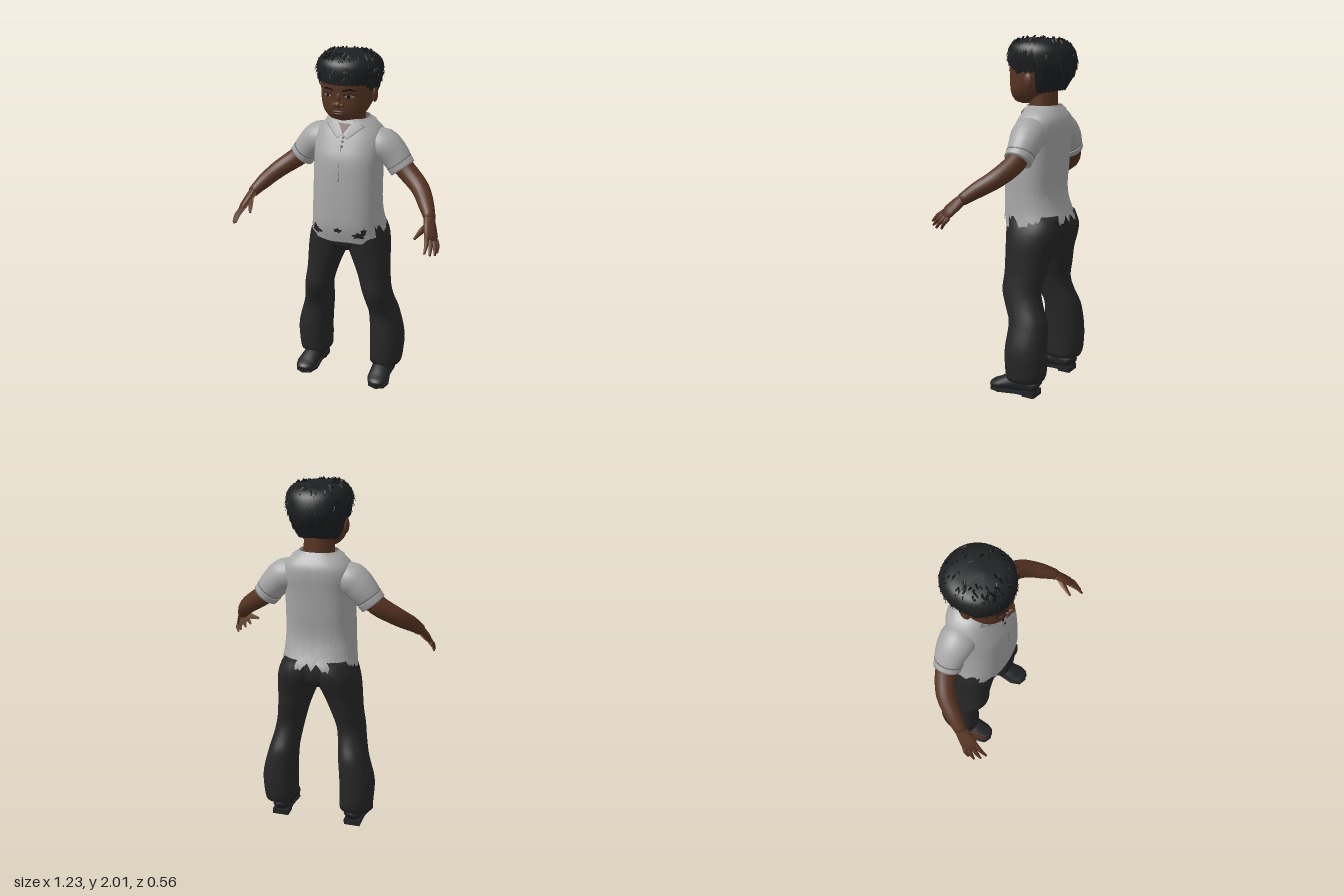
import * as THREE from 'three';
import { mergeGeometries } from 'three/addons/utils/BufferGeometryUtils.js';

const mat = (name, color, side = THREE.FrontSide) => {
  const m = new THREE.MeshStandardMaterial({ color, side });
  m.name = name;
  return m;
};
const V = (x, y, z) => new THREE.Vector3(x, y, z);
const lerp = THREE.MathUtils.lerp;

// Closed-round surface from point(v, angle); split(angle) picks the second material
function grid(rows, n, point, { caps = false, split = null } = {}) {
  const pos = [], groups = [[], []];
  const ring = [];
  for (let i = 0; i <= rows; i++) {
    for (let j = 0; j < n; j++) {
      const p = point(i / rows, (j / n) * Math.PI * 2);
      pos.push(p.x, p.y, p.z);
      if (i === 0 || i === rows) ring.push(p);
    }
  }
  for (let i = 0; i < rows; i++) for (let j = 0; j < n; j++) {
    const a = i * n + j, b = i * n + (j + 1) % n;
    const g = groups[split && split(((j + 0.5) / n) * Math.PI * 2) ? 1 : 0];
    g.push(a, b, b + n, a, b + n, a + n);
  }
  if (caps) [0, 1].forEach((end) => {
    const c = V(0, 0, 0);
    for (let j = 0; j < n; j++) c.addScaledVector(ring[end * n + j], 1 / n);
    const k = pos.length / 3, base = end * rows * n;
    pos.push(c.x, c.y, c.z);
    for (let j = 0; j < n; j++) {
      const a = base + j, b = base + (j + 1) % n;
      groups[0].push(...(end ? [k, a, b] : [k, b, a]));
    }
  });
  const geo = new THREE.BufferGeometry();
  geo.setAttribute('position', new THREE.Float32BufferAttribute(pos, 3));
  geo.setIndex([...groups[0], ...groups[1]]);
  if (split) {
    geo.addGroup(0, groups[0].length, 0);
    geo.addGroup(groups[0].length, groups[1].length, 1);
  }
  geo.computeVertexNormals();
  return geo;
}

// Smoothly read a profile of [y, xMin, xMax, zFront, zBack] at height y
function at(rows, y) {
  const last = rows.length - 1;
  let i = 0;
  while (i < last - 1 && y > rows[i + 1][0]) i++;
  const A = rows[i], B = rows[i + 1], P = rows[Math.max(i - 1, 0)], Q = rows[Math.min(i + 2, last)];
  const h = B[0] - A[0], t = THREE.MathUtils.clamp((y - A[0]) / h, 0, 1);
  return A.map((a, k) => {
    const m0 = (B[k] - P[k]) / (B[0] - P[0]) * h, m1 = (Q[k] - a) / (Q[0] - A[0]) * h;
    return (2 * t ** 3 - 3 * t * t + 1) * a + (t ** 3 - 2 * t * t + t) * m0
      + (3 * t * t - 2 * t ** 3) * B[k] + (t ** 3 - t * t) * m1;
  });
}
const sym = (rows) => rows.map(([y, w, f, b]) => [y, -w, w, f, b]);
const pw = (s, q) => Math.sign(s) * Math.abs(s) ** q;
function onBody(rows, y, a, q) {
  const [, x0, x1, f, b] = at(rows, y);
  return V((x0 + x1) / 2 + (x1 - x0) / 2 * pw(Math.sin(a), q), y, (f + b) / 2 + (f - b) / 2 * pw(Math.cos(a), q));
}
function body(rows, q, n, steps, hem, opts) {
  const top = rows[rows.length - 1][0];
  return grid(steps, n, (v, a) => onBody(rows, lerp(hem ? hem(a) : rows[0][0], top, v), a, q), opts);
}

// Elliptical tube along points [x, y, z, wideRadius, thinRadius]
function sweep(pts, wide, n = 16, opts = { caps: true }) {
  const curve = new THREE.CatmullRomCurve3(pts.map((p) => V(p[0], p[1], p[2])));
  const k = pts.length - 1;
  return grid(k * 4, n, (v, a) => {
    const i = Math.min(Math.floor(v * k), k - 1), f = v * k - i;
    const t = curve.getTangent(v);
    const u = wide.clone().addScaledVector(t, -wide.dot(t)).normalize();
    const w = u.clone().cross(t);
    return curve.getPoint(v)
      .addScaledVector(u, Math.sin(a) * lerp(pts[i][3], pts[i + 1][3], f))
      .addScaledVector(w, Math.cos(a) * lerp(pts[i][4], pts[i + 1][4], f));
  }, opts);
}

// Thin polygon laid on the front of a body
function patch(rows, q, points, off) {
  const c = [0, 1].map((k) => points.reduce((s, p) => s + p[k], 0) / points.length);
  const pos = [c, ...points].flatMap(([x, y]) => {
    const w = at(rows, y)[2];
    return onBody(rows, y, Math.asin(pw(Math.max(-1, Math.min(1, x / w)), 1 / q)), q).add(V(0, 0, off)).toArray();
  });
  const geo = new THREE.BufferGeometry();
  geo.setAttribute('position', new THREE.Float32BufferAttribute(pos, 3));
  geo.setIndex(points.flatMap((_, i) => [0, i + 1, (i + 1) % points.length + 1]));
  geo.computeVertexNormals();
  return geo;
}
const blob = (x, y, rx, ry, n = 14, wob = 0) => Array.from({ length: n }, (_, i) => {
  const a = i / n * Math.PI * 2, r = 1 + wob * Math.sin(i * 2.4 + x * 40);
  return [x + Math.cos(a) * rx * r, y + Math.sin(a) * ry * r];
});
const ball = (x, y, z, rx, ry, rz) => new THREE.SphereGeometry(1, 18, 12).scale(rx, ry, rz).translate(x, y, z);
function mirror(geo) {
  const g = geo.clone().scale(-1, 1, 1), ix = g.index.array;
  for (let i = 0; i < ix.length; i += 3) [ix[i + 1], ix[i + 2]] = [ix[i + 2], ix[i + 1]];
  return g;
}

export function createModel() {
  const model = new THREE.Group();
  const skin = mat('skin', 0x573423), palm = mat('palm', 0xa07459), lip = mat('lips', 0x45251d);
  const shirt = mat('shirt cloth', 0xa6a6a6, THREE.DoubleSide), seam = mat('seam', 0x6a6a6a);
  const cloth = mat('trouser cloth', 0x262627), leather = mat('shoe leather', 0x222325);
  const hair = mat('hair', 0x1d1f20, THREE.DoubleSide), dark = mat('dark strands', 0x0f1011);
  const white = mat('eye white', 0x85756c);
  const part = (name, geo, m) => {
    const mesh = new THREE.Mesh(geo, m);
    mesh.name = name;
    model.add(mesh);
  };
  const pair = (name, geo, m) => {
    part('left ' + name, geo, m);
    part('right ' + name, mirror(geo), m);
  };

  // Trousers
  pair('trouserLeg', body([
    [0.10, .135, .325, 0, -.215], [0.14, .135, .33, .008, -.23], [0.27, .135, .335, .01, -.235],
    [0.43, .125, .297, 0, -.225], [0.52, .115, .275, .035, -.19], [0.60, .10, .262, .06, -.17],
    [0.70, .07, .25, .056, -.19], [0.80, .03, .245, .06, -.21], [0.88, -.003, .24, .065, -.238],
    [0.95, -.02, .226, .07, -.254], [1.03, -.01, .195, .07, -.235]], .88, 32, 36, null, { caps: true }), cloth);
  part('trouserSeat', body(sym([[.85, .05, .02, -.16], [.89, .15, .06, -.22], [.95, .215, .07, -.24],
    [1.04, .195, .07, -.23]]), .85, 40, 10, null, { caps: true }), cloth);

  // Shoes
  pair('shoe', sweep([[.215, .05, -.18, .03, .03], [.218, .062, -.165, .05, .05], [.222, .075, -.09, .055, .062],
    [.228, .062, -.01, .058, .048], [.234, .046, .055, .063, .032], [.236, .038, .095, .05, .024],
    [.236, .034, .113, .022, .012]], V(1, 0, 0), 20), leather);
  pair('ankle', new THREE.CylinderGeometry(.055, .055, .12, 18).translate(.222, .11, -.1), leather);
  const sole = new THREE.Shape([[.17, -.17], [.2, -.185], [.24, -.183], [.27, -.16], [.275, -.06], [.3, .04],
    [.285, .095], [.24, .118], [.19, .1], [.168, .04], [.178, -.06]].map(([x, z]) => new THREE.Vector2(x, -z)));
  const soleGeo = new THREE.ExtrudeGeometry(sole, { depth: .016, bevelEnabled: false }).rotateX(-Math.PI / 2).translate(0, .01, 0);
  soleGeo.setIndex([...Array(soleGeo.attributes.position.count).keys()]);
  pair('shoeSole', soleGeo, leather);
  pair('shoeHeel', new THREE.BoxGeometry(.095, .035, .075).translate(.222, .0175, -.14), leather);

  // Shirt with torn hem
  const torso = sym([[.92, .228, .085, -.262], [1.0, .212, .105, -.256], [1.05, .204, .11, -.232],
    [1.15, .198, .108, -.205], [1.3, .195, .1, -.216], [1.42, .195, .085, -.226], [1.5, .198, .052, -.235],
    [1.56, .183, .022, -.23], [1.6, .145, .0, -.205], [1.628, .1, -.015, -.182]]);
  const hem = (a) => {
    const d = Math.min(a, Math.PI * 2 - a);
    if (d < 1.1) return .93 + .003 * Math.sin(9 * a);
    return d < 1.45 ? 1.02 + .015 * Math.sin(30 * d) : .98 + .028 * Math.sin(11 * d) + .02 * Math.sin(23 * d);
  };
  part('shirtBody', body(torso, .8, 84, 36, hem), shirt);
  pair('sleeve', sweep([[.1, 1.485, -.1, .09, .085], [.19, 1.478, -.105, .1, .094], [.25, 1.43, -.11, .088, .084],
    [.302, 1.362, -.105, .073, .072]], V(0, 0, 1), 24), shirt);
  pair('sleeveCuff', sweep([[.286, 1.383, -.106, .08, .078], [.308, 1.355, -.104, .077, .076]], V(0, 0, 1), 24), shirt);
  pair('cuffSeam', sweep([[.281, 1.39, -.107, .081, .0785], [.284, 1.386, -.107, .081, .0785]], V(0, 0, 1), 24), seam);
  [[-.14, .985, .035, .018], [0, 1.01, .024, .014], [.12, .985, .036, .018], [.145, 1.01, .014, .016], [-.15, 1.01, .012, .014]]
    .forEach(([x, y, rx, ry]) => part('hemTear', patch(torso, .8, blob(x, y, rx, ry, 14, .3), .005), cloth));
  part('frontSeam', patch(torso, .8, [[-.002, 1.3], [.002, 1.3], [.002, 1.5], [-.002, 1.5]], .003), seam);

  // Collar, open neck and buttons
  part('neckOpening', patch(torso, .8, [[-.045, 1.622], [0, 1.552], [.045, 1.622]], .005), skin);
  const flap = [[.002, 1.558], [.03, 1.537], [.105, 1.597], [.05, 1.624]];
  const edge = [[0, 1.554], [.03, 1.532], [.112, 1.595], [.05, 1.626]];
  pair('collarFlap', patch(torso, .8, flap, .0105), shirt);
  pair('collarEdge', patch(torso, .8, edge, .008), seam);
  part('collarBand', grid(4, 48, (v, a) => {
    const p = onBody(torso, lerp(1.606, 1.63, v), a, .8);
    return p.add(V(Math.sin(a) * .006, .003, Math.cos(a) * .004));
  }), shirt);
  [1.54, 1.52, 1.495].forEach((y) => part('button', patch(torso, .8, blob(.008, y, .008, .007, 8), .012), dark));

  // Arms and hands
  pair('arm', sweep([[.26, 1.41, -.107, .055, .055], [.33, 1.345, -.1, .057, .057], [.43, 1.272, -.045, .053, .05],
    [.49, 1.215, .035, .045, .043], [.535, 1.162, .105, .034, .03]], V(0, 0, 1), 20), skin);
  const across = V(.04, -.03, -.05).normalize();
  const opts = { caps: true, split: (a) => Math.cos(a) > .3 };
  const hand = [skin, palm];
  pair('palm', sweep([[.528, 1.172, .095, .032, .025], [.545, 1.135, .135, .043, .024], [.562, 1.1, .17, .047, .021],
    [.57, 1.078, .192, .038, .014]], across, 16, opts), hand);
  [[.547, 1.1, .2, .56, 1.036, .278], [.562, 1.088, .19, .584, 1.02, .256], [.576, 1.078, .174, .604, 1.011, .224],
    [.587, 1.07, .155, .605, 1.01, .19]].forEach(([x, y, z, X, Y, Z], i) =>
    pair('finger' + (i + 1), sweep([[x, y, z, .0135, .013], [(x + X) / 2 + .005, (y + Y) / 2 + .004, (z + Z) / 2, .012, .012],
      [X, Y, Z, .006, .006]], across, 10, opts), hand));
  pair('thumb', sweep([[.532, 1.14, .135, .02, .017], [.51, 1.118, .18, .016, .014], [.488, 1.092, .232, .007, .007]], across, 10, opts), hand);

  // Neck and head
  part('neck', body(sym([[1.56, .092, -.015, -.18], [1.62, .086, -.015, -.172], [1.74, .086, 0, -.17]]), 1, 28, 8), skin);
  const head = sym([[1.638, .03, .045, -.04], [1.648, .075, .066, -.07], [1.68, .112, .087, -.12], [1.72, .133, .096, -.17],
    [1.78, .144, .097, -.21], [1.85, .145, .1, -.23], [1.92, .13, .085, -.22], [1.97, .07, .03, -.15]]);
  part('head', body(head, .9, 44, 30, null, { caps: true }), skin);
  part('nose', ball(0, 1.742, .1, .02, .018, .022), skin);
  part('noseBridge', ball(0, 1.77, .092, .013, .035, .014), skin);
  pair('nostril', ball(.02, 1.738, .096, .015, .012, .014), skin);
  part('upperLip', ball(0, 1.7, .092, .04, .009, .014), lip);
  part('lowerLip', ball(0, 1.687, .09, .034, .009, .013), lip);
  pair('ear', ball(.147, 1.768, -.075, .014, .042, .028), skin);
  pair('eyeLid', patch(head, .9, blob(.062, 1.79, .035, .015), .004), lip);
  pair('eyeWhite', patch(head, .9, blob(.062, 1.787, .026, .008), .007), white);
  pair('pupil', patch(head, .9, blob(.06, 1.787, .009, .009, 10), .0095), dark);
  pair('eyebrow', patch(head, .9, [[.025, 1.812], [.065, 1.82], [.105, 1.812], [.065, 1.83], [.03, 1.823]], .006), dark);

  // Hair cap with a shaped hairline
  const cap = sym([[1.69, .11, .07, -.2], [1.75, .142, .088, -.235], [1.8, .156, .1, -.265], [1.85, .17, .106, -.28],
    [1.92, .179, .107, -.268], [1.96, .162, .092, -.24], [1.985, .125, .055, -.19], [1.997, .06, 0, -.12], [1.999, .002, -.05, -.054]]);
  const hairline = (a) => {
    const d = Math.min(a, Math.PI * 2 - a), jag = .006 * Math.sin(37 * a);
    if (d < .85) return 1.845 + jag;
    if (d < 1.3) return lerp(1.845, 1.79, (d - .85) / .45) + jag;
    return (d < 1.75 ? 1.815 : lerp(1.7, 1.72, (d - 1.75) / 1.4)) + jag;
  };
  part('hairCap', body(cap, .95, 72, 32, hairline), hair);

  // Short locks lying over the cap
  let seed = 7;
  const rnd = () => (seed = (seed * 16807) % 2147483647) / 2147483647;
  const locks = [[], []];
  for (let i = 0; i < 260; i++) {
    const a = rnd() * Math.PI * 2, low = hairline(a) + .035;
    const p = onBody(cap, lerp(low, 1.994, rnd()), a, .95);
    const out = p.clone().sub(V(0, 1.85, -.09)).normalize();
    const dir = V(rnd() - .5, -1, rnd() - .5);
    dir.addScaledVector(out, -dir.dot(out)).normalize().addScaledVector(out, .12).normalize();
    const turn = new THREE.Quaternion().setFromUnitVectors(V(0, 1, 0), dir);
    const g = new THREE.ConeGeometry(.007, .05 + rnd() * .03, 3).applyQuaternion(turn);
    locks[i % 3 ? 0 : 1].push(g.translate(p.x - out.x * .003, p.y - out.y * .006, p.z - out.z * .003));
  }
  part('hairLocks', mergeGeometries(locks[0]), hair);
  part('darkLocks', mergeGeometries(locks[1]), dark);
  return model;
}
